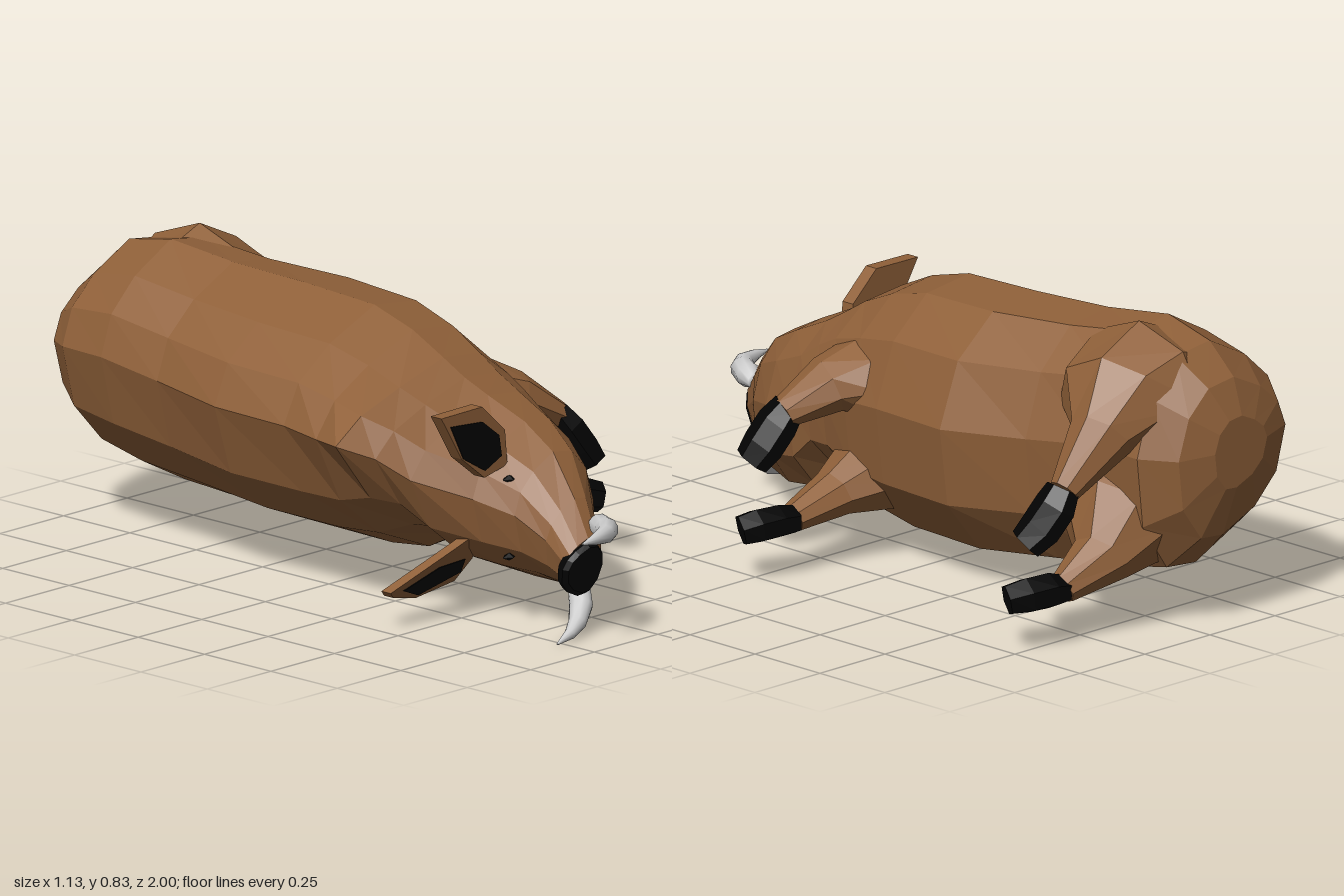
import * as THREE from 'three';

const paint = (color, flatShading = true) =>
  new THREE.MeshStandardMaterial({ color, flatShading, side: THREE.DoubleSide });

// Skin a list of rings (equal point counts) and close both ends
function loft(rings) {
  const n = rings[0].length, pos = [], index = [];
  for (const ring of rings) for (const p of ring) pos.push(p.x, p.y, p.z);
  for (let r = 0; r < rings.length - 1; r++) {
    for (let i = 0; i < n; i++) {
      const j = (i + 1) % n, a = r * n, b = a + n;
      index.push(a + i, a + j, b + j, a + i, b + j, b + i);
    }
  }
  [0, rings.length - 1].forEach((r, end) => {
    const c = new THREE.Vector3();
    rings[r].forEach((p) => c.addScaledVector(p, 1 / n));
    const k = pos.length / 3;
    pos.push(c.x, c.y, c.z);
    for (let i = 0; i < n; i++) {
      const a = r * n + i, b = r * n + (i + 1) % n;
      index.push(k, end ? a : b, end ? b : a);
    }
  });
  const g = new THREE.BufferGeometry();
  g.setAttribute('position', new THREE.Float32BufferAttribute(pos, 3));
  g.setIndex(index);
  g.computeVertexNormals();
  return g;
}

// Tapered limb through stations [x, y, z, radius], wide = stretch along z
function limb(stations, sides, wide = 1) {
  const pts = stations.map((s) => new THREE.Vector3(s[0], s[1], s[2]));
  return loft(pts.map((p, k) => {
    const t = pts[Math.min(k + 1, pts.length - 1)].clone().sub(pts[Math.max(k - 1, 0)]).normalize();
    const u = new THREE.Vector3(0, 0, 1).cross(t).normalize();
    const v = t.clone().cross(u);
    return Array.from({ length: sides }, (_, i) => {
      const a = (i / sides) * Math.PI * 2, r = stations[k][3];
      return p.clone().addScaledVector(u, r * Math.cos(a)).addScaledVector(v, wide * r * Math.sin(a));
    });
  }));
}

// Cross-section of the body lying on its side: belly at +x, spine at -x.
// The third number is the share of the neck crest that pulls a point outwards.
const SECTION = [[1, 0.1, 0], [0.81, 0.62, 0], [0.44, 0.94, 0], [-0.03, 1, 0], [-0.53, 0.78, 0.15],
  [-0.86, 0.52, 0.55], [-1, 0.19, 1], [-0.83, -0.38, 0.35], [-0.43, -0.75, 0], [0.17, -1, 0],
  [0.58, -0.97, 0], [0.92, -0.54, 0]];

// Ring from [z, xMin, xMax, yMin, yMax, tilt, crest]
function bodyRing([z, x0, x1, y0, y1, tilt = 0, crest = 0]) {
  return SECTION.map(([u, v, pull]) => new THREE.Vector3(
    (x0 + x1) / 2 + u * (x1 - x0) / 2 - crest * pull,
    (y0 + y1) / 2 + v * (y1 - y0) / 2 + crest * pull * 0.3,
    z + tilt * v * (y1 - y0) / 2));
}

// Thin ear plate in the xy plane, leaning along z by a shear
function earPlate(outline, depth, z, lean, y0) {
  const g = new THREE.ExtrudeGeometry(new THREE.Shape(outline.map((p) => new THREE.Vector2(...p))),
    { depth, bevelEnabled: false });
  const p = g.attributes.position;
  for (let i = 0; i < p.count; i++) p.setZ(i, p.getZ(i) + z + lean * (p.getY(i) - y0));
  g.computeVertexNormals();
  return g;
}

export function createModel() {
  const model = new THREE.Group();
  model.name = 'boar';
  const hide = paint(0x8f6039), black = paint(0x030303), ivory = paint(0xcccccc, false);
  const add = (name, geometry, material) => {
    const m = new THREE.Mesh(geometry, material);
    m.name = name;
    model.add(m);
    return m;
  };

  // Rump, barrel, crested neck, head and snout in one skin
  add('body', loft([
    [-1.0, -0.22, -0.02, 0.4, 0.6],
    [-0.96, -0.33, 0.08, 0.26, 0.7],
    [-0.87, -0.39, 0.15, 0.165, 0.785],
    [-0.7, -0.415, 0.15, 0.13, 0.82],
    [-0.48, -0.425, 0.19, 0.11, 0.795],
    [-0.22, -0.47, 0.26, 0.09, 0.785],
    [0.05, -0.46, 0.235, 0.09, 0.775, 0, 0.02],
    [0.2, -0.45, 0.21, 0.11, 0.735, 0, 0.06],
    [0.32, -0.43, 0.18, 0.17, 0.68, 0, 0.128],
    [0.39, -0.4, 0.17, 0.18, 0.635, 0, 0.075],
    [0.46, -0.36, 0.165, 0.11, 0.595, 0, 0.05],
    [0.58, -0.29, 0.13, 0.095, 0.54],
    [0.7, -0.25, 0.06, 0.105, 0.48],
    [0.8, -0.235, -0.04, 0.12, 0.38, 0.15],
    [0.88, -0.245, -0.1, 0.13, 0.29, 0.3],
  ].map(bodyRing)), hide);

  // Nose disc
  add('nose', loft([
    [0.86, -0.25, -0.11, 0.125, 0.28, 0.3],
    [0.885, -0.26, -0.108, 0.118, 0.28, 0.3],
    [0.9, -0.25, -0.115, 0.13, 0.268, 0.3],
  ].map(bodyRing)), black);

  // Legs with their hooves
  const legs = {
    frontLeftLeg: {
      wide: 1.3,
      leg: [[0, 0.5, 0.17, 0.16], [0.12, 0.5, 0.21, 0.115], [0.21, 0.485, 0.26, 0.075], [0.33, 0.42, 0.31, 0.04]],
      hoof: [[0.315, 0.435, 0.305, 0.04], [0.34, 0.39, 0.325, 0.05], [0.375, 0.33, 0.345, 0.05], [0.4, 0.285, 0.365, 0.042]],
    },
    frontRightLeg: {
      wide: 1.2,
      leg: [[0, 0.26, 0.18, 0.15], [0.1, 0.23, 0.19, 0.12], [0.25, 0.195, 0.2, 0.065], [0.4, 0.155, 0.21, 0.038]],
      hoof: [[0.395, 0.155, 0.205, 0.04], [0.44, 0.155, 0.22, 0.046], [0.5, 0.15, 0.24, 0.048], [0.54, 0.14, 0.265, 0.042]],
    },
    backLeftLeg: {
      wide: 1.15,
      leg: [[-0.13, 0.63, -0.72, 0.15], [-0.02, 0.64, -0.72, 0.195], [0.09, 0.615, -0.73, 0.16],
        [0.19, 0.56, -0.77, 0.085], [0.32, 0.43, -0.76, 0.04]],
      hoof: [[0.32, 0.435, -0.755, 0.04], [0.345, 0.39, -0.75, 0.05], [0.375, 0.33, -0.725, 0.05], [0.41, 0.285, -0.7, 0.042]],
    },
    backRightLeg: {
      wide: 1.15,
      leg: [[-0.13, 0.33, -0.72, 0.14], [-0.02, 0.32, -0.72, 0.185], [0.09, 0.28, -0.73, 0.155],
        [0.19, 0.21, -0.77, 0.08], [0.33, 0.15, -0.76, 0.04]],
      hoof: [[0.325, 0.15, -0.755, 0.04], [0.37, 0.155, -0.75, 0.05], [0.43, 0.15, -0.73, 0.05], [0.48, 0.14, -0.7, 0.042]],
    },
  };
  for (const [name, { wide, leg, hoof }] of Object.entries(legs)) {
    add(name, limb(leg, 8, wide), hide);
    add(name.replace('Leg', 'Hoof'), limb(hoof, 6, 1.3), black);
  }

  // Ears: hide plate with a dark inner face
  const leftEar = [[-0.46, 0.63], [-0.38, 0.5], [-0.29, 0.43], [-0.2, 0.45], [-0.21, 0.55], [-0.3, 0.632]];
  const leftInner = [[-0.425, 0.6], [-0.375, 0.5], [-0.29, 0.45], [-0.225, 0.48], [-0.235, 0.54], [-0.3, 0.59]];
  const rightEar = [[-0.485, 0.11], [-0.46, 0.09], [-0.355, 0.065], [-0.22, 0.09], [-0.2, 0.16], [-0.24, 0.26], [-0.3, 0.22]];
  const rightInner = [[-0.435, 0.107], [-0.355, 0.075], [-0.22, 0.12], [-0.235, 0.165], [-0.33, 0.16]];
  add('leftEar', earPlate(leftEar, 0.04, 0.585, 0, 0.5), hide);
  add('leftInnerEar', earPlate(leftInner, 0.012, 0.616, 0, 0.5), black);
  add('rightEar', earPlate(rightEar, 0.035, 0.43, 0.7, 0.12), hide);
  add('rightInnerEar', earPlate(rightInner, 0.012, 0.457, 0.7, 0.12), black);

  // Eyes
  for (const [name, y] of [['leftEye', 0.42], ['rightEye', 0.2]]) {
    const eye = add(name, new THREE.OctahedronGeometry(0.018), black);
    eye.position.set(-0.225, y, 0.655);
    eye.scale.set(1.4, 0.6, 1);
  }

  // Curved tusks
  const tusks = {
    leftTusk: [[-0.1, 0.3, 0.85, 0.024], [-0.108, 0.306, 0.885, 0.036], [-0.13, 0.31, 0.93, 0.034],
      [-0.17, 0.312, 0.965, 0.026], [-0.23, 0.313, 0.985, 0.016], [-0.29, 0.313, 0.995, 0.003]],
    rightTusk: [[-0.085, 0.15, 0.79, 0.012], [-0.1, 0.11, 0.8, 0.032], [-0.125, 0.075, 0.83, 0.033],
      [-0.165, 0.042, 0.855, 0.026], [-0.21, 0.02, 0.87, 0.016], [-0.27, 0.005, 0.88, 0.003]],
  };
  for (const [name, stations] of Object.entries(tusks)) add(name, limb(stations, 10), ivory);

  return model;
}
